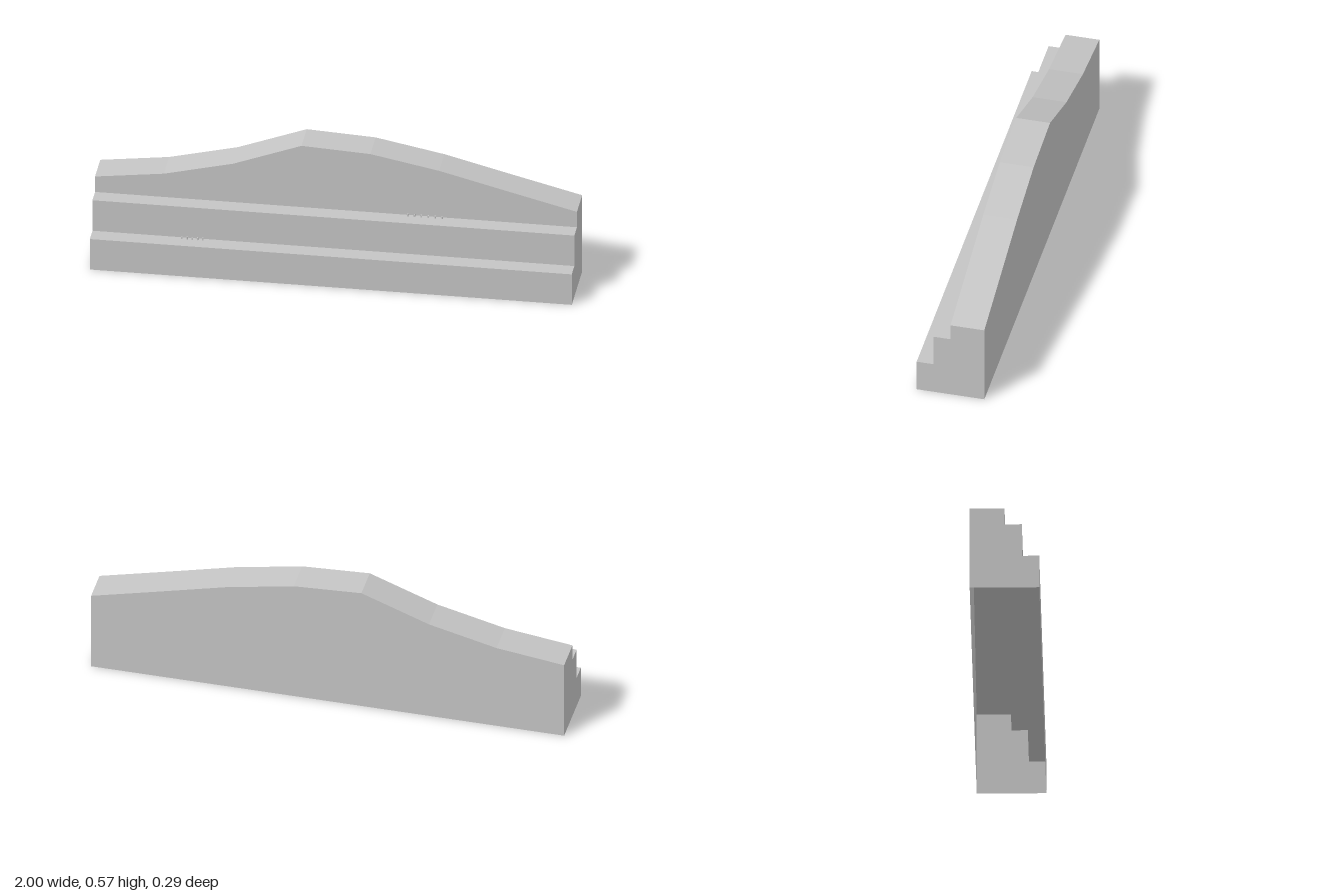
import * as THREE from 'three';

const U = 1 / 7; // step height and base unit

// Ridge heights at evenly spaced stations from x = -1 to x = 1
const ridge = [0.358, 0.395, 0.465, 0.573, 0.558, 0.503, 0.43, 0.358];

// Stepped cross-section as [z, y], from the back foot over the top to the front foot
const section = (h) => [
  [-U, 0], [-U, h], [0, h], [0, 2 * U], [U / 2, 2 * U], [U / 2, U], [U, U], [U, 0],
];

// Long walls and treads: bands joining neighbouring cross-sections, open underneath
function shellGeometry() {
  const pos = [];
  const last = ridge.length - 1;
  for (let i = 0; i < last; i++) {
    const xa = -1 + (2 * i) / last, xb = -1 + (2 * (i + 1)) / last;
    const a = section(ridge[i]), b = section(ridge[i + 1]);
    for (let j = 0; j < a.length - 1; j++) {
      const ap = [xa, a[j][1], a[j][0]], aq = [xa, a[j + 1][1], a[j + 1][0]];
      const bp = [xb, b[j][1], b[j][0]], bq = [xb, b[j + 1][1], b[j + 1][0]];
      pos.push(...ap, ...aq, ...bp, ...aq, ...bq, ...bp);
    }
  }
  const g = new THREE.BufferGeometry();
  g.setAttribute('position', new THREE.Float32BufferAttribute(pos, 3));
  g.computeVertexNormals();
  return g;
}

// Flat end wall at x = side
function endGeometry(side, h) {
  const shape = new THREE.Shape(section(h).map(([z, y]) => new THREE.Vector2(-side * z, y)));
  return new THREE.ShapeGeometry(shape).rotateY((side * Math.PI) / 2).translate(side, 0, 0);
}

export function createModel() {
  const stone = new THREE.MeshStandardMaterial({ color: 0xc4c4c4, side: THREE.DoubleSide });
  stone.name = 'grey';
  const model = new THREE.Group();
  model.name = 'steppedWall';

  const add = (parent, name, geometry) => {
    const mesh = new THREE.Mesh(geometry, stone);
    mesh.name = name;
    parent.add(mesh);
    return mesh;
  };

  add(model, 'steppedShell', shellGeometry());
  add(model, 'leftEnd', endGeometry(1, ridge[ridge.length - 1]));
  add(model, 'rightEnd', endGeometry(-1, ridge[0]));

  // Rows of tiny pegs standing on the two treads
  const pegGeometry = new THREE.BoxGeometry(0.0057, 0.0114, 0.0057);
  const pegRow = (name, count, x, spacing, y, z) => {
    const row = new THREE.Group();
    row.name = name;
    for (let i = 0; i < count; i++) {
      add(row, 'peg', pegGeometry).position.set(x + i * spacing, y + 0.0057, z);
    }
    model.add(row);
  };
  pegRow('lowerPegs', 5, -0.627, 0.0218, U, 0.084);
  pegRow('upperPegs', 6, 0.299, 0.0286, 2 * U, 0.0126);

  return model;
}
